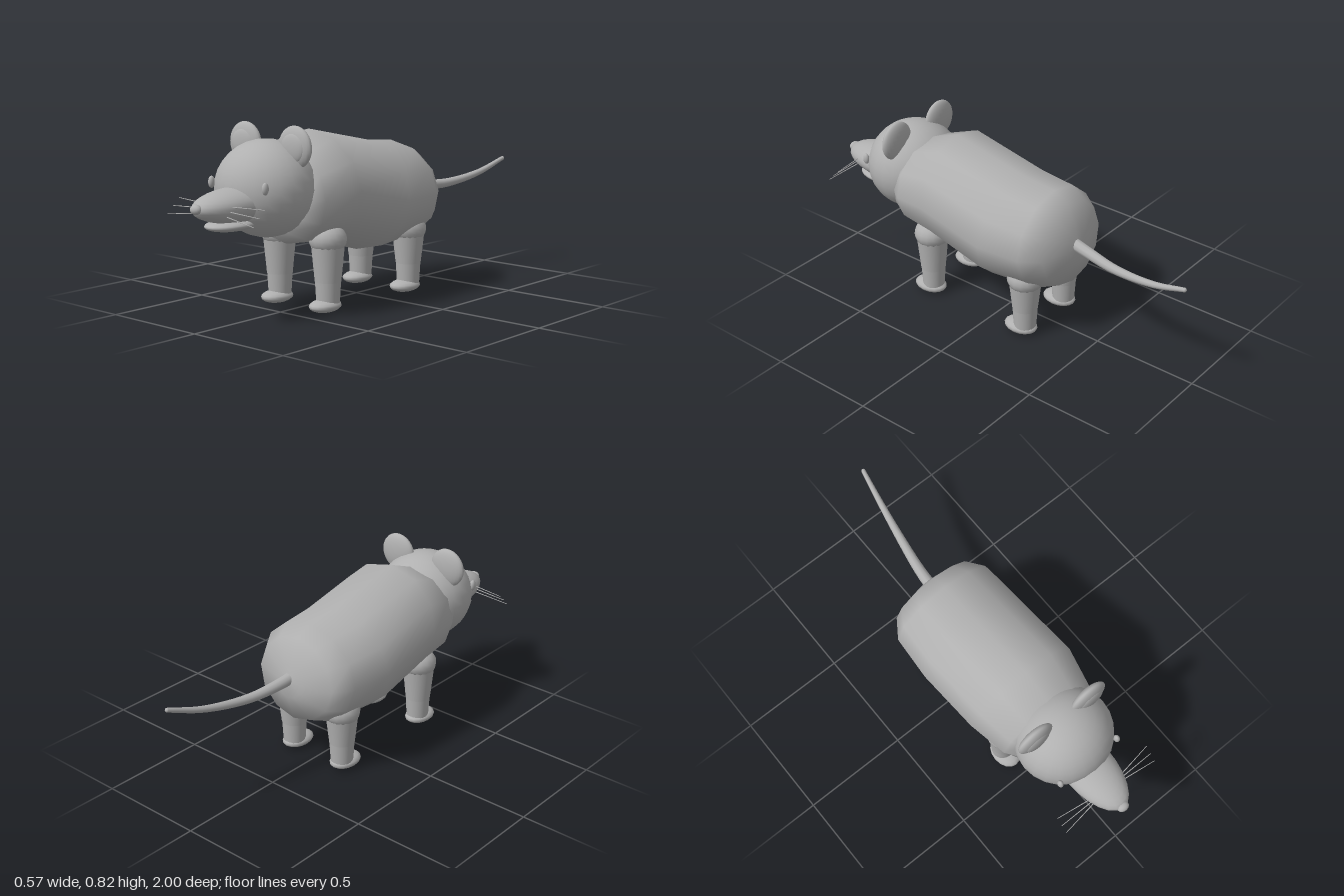
import * as THREE from 'three';

const grey = new THREE.MeshStandardMaterial({ color: 0xb0b0b0 });
grey.name = 'grey';

function add(parent, name, geometry) {
  const mesh = new THREE.Mesh(geometry, grey);
  mesh.name = name;
  parent.add(mesh);
  return mesh;
}

function ellipsoid(parent, name, pos, radii, w = 24, h = 16) {
  const mesh = add(parent, name, new THREE.SphereGeometry(1, w, h));
  mesh.position.set(...pos);
  mesh.scale.set(...radii);
  return mesh;
}

// Closed skin over tilted elliptical rings: [topZ, topY, bottomZ, bottomY, halfWidth], front to back
function loft(rings, sides) {
  const points = [], index = [];
  rings.forEach(([tz, ty, bz, by, rx], i) => {
    for (let j = 0; j < sides; j++) {
      const a = (j / sides) * Math.PI * 2;
      const t = (1 - Math.cos(a)) / 2;
      points.push(rx * Math.sin(a), ty + (by - ty) * t, tz + (bz - tz) * t);
      if (i === rings.length - 1) continue;
      const p = i * sides + j, q = i * sides + ((j + 1) % sides);
      index.push(p, q, p + sides, q, q + sides, p + sides);
    }
  });
  const g = new THREE.BufferGeometry();
  g.setAttribute('position', new THREE.Float32BufferAttribute(points, 3));
  g.setIndex(index);
  g.computeVertexNormals();
  return g;
}

// Tube whose radius shrinks evenly from r0 to r1
function taperedTube(curve, r0, r1, segments, sides) {
  const g = new THREE.TubeGeometry(curve, segments, r0, sides);
  const p = g.attributes.position, v = new THREE.Vector3();
  for (let i = 0; i <= segments; i++) {
    const c = curve.getPointAt(i / segments);
    const s = 1 + (r1 / r0 - 1) * (i / segments);
    for (let j = 0; j <= sides; j++) {
      const k = i * (sides + 1) + j;
      v.fromBufferAttribute(p, k).sub(c).multiplyScalar(s).add(c);
      p.setXYZ(k, v.x, v.y, v.z);
    }
  }
  return g;
}

function cylinder(parent, name, rTop, rBottom, yTop, yBottom) {
  const mesh = add(parent, name, new THREE.CylinderGeometry(rTop, rBottom, yTop - yBottom, 20));
  mesh.position.y = (yTop + yBottom) / 2;
}

function leg(name, x, z, jointY, footZ) {
  const g = new THREE.Group();
  g.name = name;
  g.position.set(x, 0, z);
  ellipsoid(g, 'joint', [0, jointY, 0], [0.083, 0.07, 0.083], 16, 12);
  cylinder(g, 'upperLeg', 0.076, 0.058, jointY, 0.135);
  cylinder(g, 'lowerLeg', 0.057, 0.051, 0.137, 0.03);
  ellipsoid(g, 'foot', [0, 0.031, footZ], [0.061, 0.029, 0.083], 16, 10);
  return g;
}

export function createModel() {
  const model = new THREE.Group();
  model.name = 'rodent';

  // Barrel body with chest and rounded rump
  add(model, 'body', loft([
    [0.55, 0.52, 0.55, 0.52, 0],
    [0.51, 0.69, 0.57, 0.35, 0.2],
    [0.48, 0.72, 0.46, 0.297, 0.245],
    [0.315, 0.785, 0.265, 0.28, 0.283],
    [-0.07, 0.705, 0, 0.207, 0.285],
    [-0.24, 0.69, -0.26, 0.23, 0.27],
    [-0.32, 0.65, -0.355, 0.27, 0.21],
    [-0.365, 0.535, -0.39, 0.385, 0.07],
    [-0.385, 0.46, -0.385, 0.46, 0],
  ], 12));

  // Head, muzzle and face
  const head = new THREE.Group();
  head.name = 'head';
  model.add(head);
  ellipsoid(head, 'skull', [0, 0.555, 0.58], [0.225, 0.209, 0.215]);
  ellipsoid(head, 'muzzle', [0, 0.505, 0.745], [0.115, 0.075, 0.24]);
  ellipsoid(head, 'lowerJaw', [0, 0.425, 0.79], [0.086, 0.026, 0.125]);
  ellipsoid(head, 'nose', [0, 0.51, 0.979], [0.028, 0.021, 0.021], 16, 12);

  for (const s of [1, -1]) {
    const side = s > 0 ? 'left' : 'right';
    ellipsoid(head, side + 'Eye', [s * 0.159, 0.583, 0.744], [0.013, 0.026, 0.016], 16, 12);
    ellipsoid(head, side + 'Ear', [s * 0.146, 0.735, 0.553], [0.091, 0.091, 0.031]);
    ellipsoid(head, side + 'InnerEar', [s * 0.147, 0.733, 0.568], [0.066, 0.066, 0.021]);

    // Whiskers: start y, end y, start z, end z
    for (const [y0, y1, z0, z1] of [
      [0.516, 0.518, 0.868, 0.842],
      [0.497, 0.488, 0.876, 0.874],
      [0.476, 0.456, 0.884, 0.905],
    ]) {
      const line = new THREE.LineCurve3(
        new THREE.Vector3(s * 0.08, y0, z0), new THREE.Vector3(s * 0.255, y1, z1));
      add(head, side + 'Whisker', taperedTube(line, 0.0025, 0.0015, 1, 6));
    }

    model.add(leg(side + 'FrontLeg', s * 0.145, 0.353, 0.32, 0.018));
    model.add(leg(side + 'HindLeg', s * 0.145, -0.197, 0.295, 0.023));
  }

  // Tail sweeping back and up
  const path = new THREE.CatmullRomCurve3([
    new THREE.Vector3(0.005, 0.475, -0.33),
    new THREE.Vector3(0.018, 0.458, -0.45),
    new THREE.Vector3(0.043, 0.45, -0.6),
    new THREE.Vector3(0.08, 0.482, -0.82),
    new THREE.Vector3(0.108, 0.54, -0.99),
  ]);
  add(model, 'tail', taperedTube(path, 0.029, 0.01, 16, 10));
  ellipsoid(model, 'tailTip', [0.108, 0.54, -0.99], [0.01, 0.01, 0.01], 10, 8);

  return model;
}
